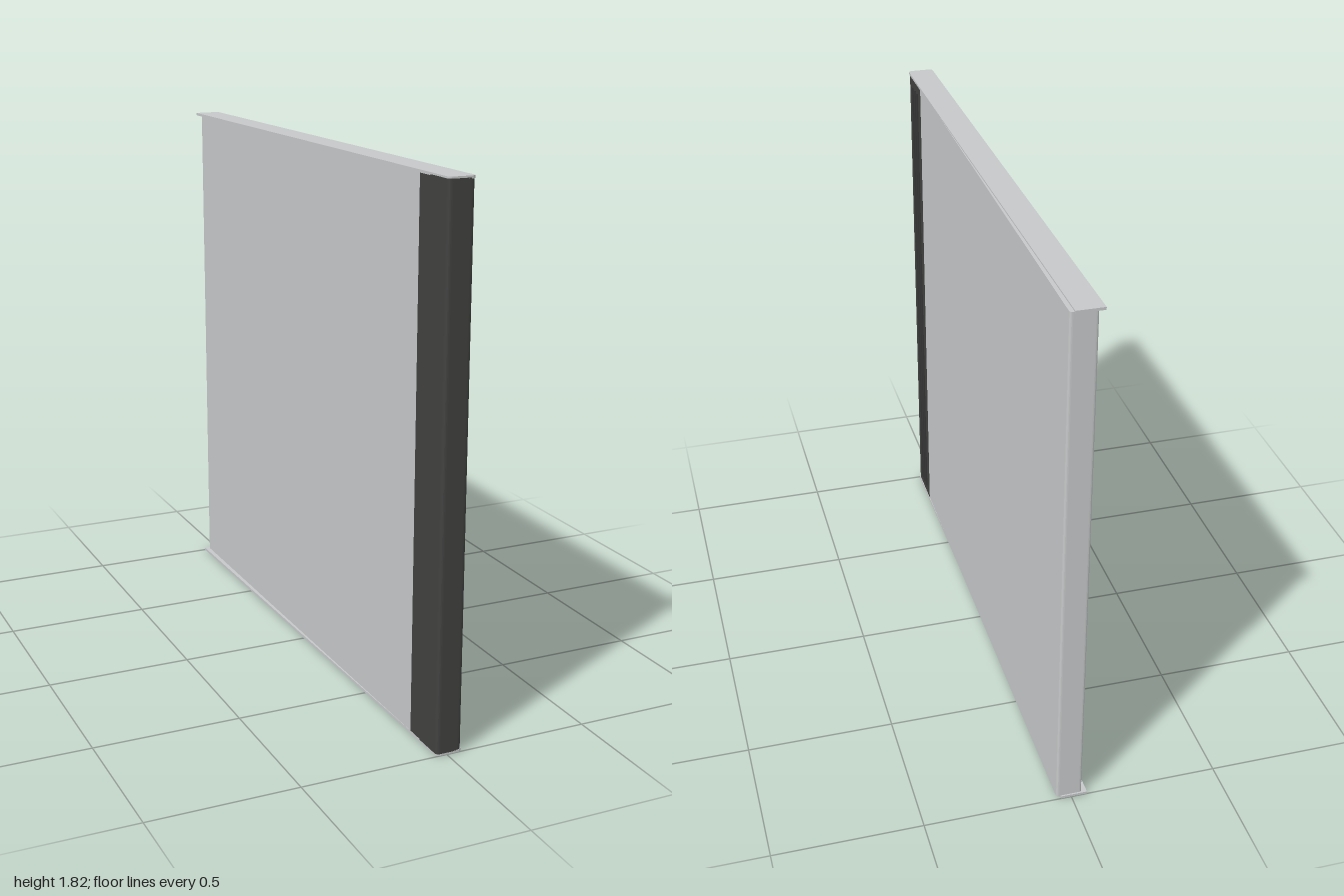
import * as THREE from 'three';

const H = 1.81;

// Upright prism whose plan (x, z) has rounded front and rear corners
function slab(x0, x1, z0, z1, y0, y1, rFront, rRear) {
  const s = new THREE.Shape();
  // plan is drawn with shape y = -z, so it turns upright as +y
  const f = -z1, b = -z0;
  s.moveTo(x0 + rFront, f);
  s.lineTo(x1 - rFront, f);
  if (rFront) s.quadraticCurveTo(x1, f, x1, f + rFront);
  s.lineTo(x1, b - rRear);
  if (rRear) s.quadraticCurveTo(x1, b, x1 - rRear, b);
  s.lineTo(x0 + rRear, b);
  if (rRear) s.quadraticCurveTo(x0, b, x0, b - rRear);
  s.lineTo(x0, f + rFront);
  if (rFront) s.quadraticCurveTo(x0, f, x0 + rFront, f);
  const g = new THREE.ExtrudeGeometry(s, { depth: y1 - y0, bevelEnabled: false, curveSegments: 5 });
  g.rotateX(-Math.PI / 2);
  g.translate(0, y0, 0);
  return g;
}

export function createModel() {
  const group = new THREE.Group();
  const lightGrey = new THREE.MeshStandardMaterial({ color: 0xc6c8c9 });
  lightGrey.name = 'light grey';
  const charcoal = new THREE.MeshStandardMaterial({ color: 0x414140 });
  charcoal.name = 'charcoal';
  const darkRib = new THREE.MeshStandardMaterial({ color: 0x383838 });
  darkRib.name = 'dark rib';

  const add = (name, geometry, material) => {
    const mesh = new THREE.Mesh(geometry, material);
    mesh.name = name;
    group.add(mesh);
    return mesh;
  };

  // Main panel and the dark front edge
  add('panel', slab(-0.037, 0.05, -0.995, 0.825, 0.006, H, 0, 0.01), lightGrey);
  add('frontEdge', slab(-0.037, 0.051, 0.825, 1, 0.006, H - 0.001, 0.014, 0), charcoal);

  // Raised grip ribs beside the front edge
  for (let i = 0; i < 3; i++) {
    const rib = add('gripRib', new THREE.BoxGeometry(0.008, 1.73, 0.016), darkRib);
    rib.position.set(0.0515, H / 2 + 0.005, 0.937 - i * 0.034);
  }

  // Thin top and bottom covers, slightly skewed towards the rear
  for (const [name, y] of [['topCover', H - 0.004], ['bottomCover', 0]]) {
    const g = slab(-0.045, 0.045, -1, 1, y, y + 0.009, 0.015, 0);
    g.applyMatrix4(new THREE.Matrix4().set(1, 0, 0.009, 0, 0, 1, 0, 0, 0, 0, 1, 0, 0, 0, 0, 1));
    g.computeVertexNormals();
    add(name, g, lightGrey);
  }
  return group;
}
